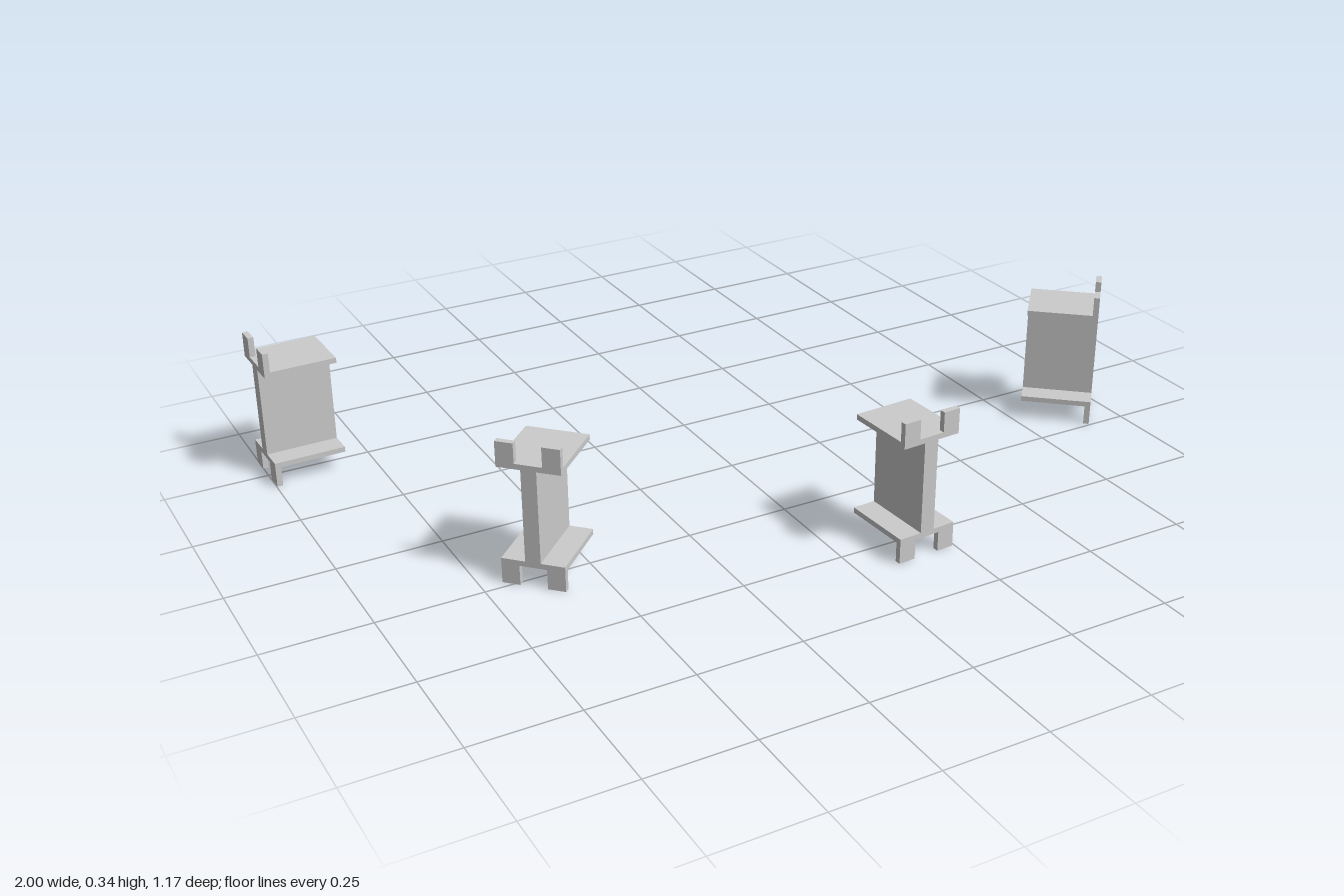
import * as THREE from 'three';

const WIDTH = 0.148, DEPTH = 0.174;   // flange footprint
const HEIGHT = 0.345, INSET = 0.048;  // overall height, flange offset from either end
const PLATE = 0.013;                  // flange thickness
const TAB_W = 0.042, TAB_D = 0.014, WEB_W = 0.036;

const material = new THREE.MeshStandardMaterial({ color: 0xcccccc, flatShading: true });

function addBox(parent, name, size, position) {
  const mesh = new THREE.Mesh(new THREE.BoxGeometry(...size), material);
  mesh.name = name;
  mesh.position.set(...position);
  parent.add(mesh);
}

// One I-shaped bracket, standing upright with its tabs at the +z edge
function createBracket() {
  const bracket = new THREE.Group();
  const mid = HEIGHT / 2;
  const webH = HEIGHT - 2 * (INSET + PLATE);
  addBox(bracket, 'web', [WEB_W, webH, DEPTH], [0, mid, 0]);

  for (const end of [-1, 1]) {
    const label = end > 0 ? 'top' : 'bottom';
    // Flange plate
    addBox(bracket, label + 'Flange', [WIDTH, PLATE, DEPTH],
      [0, mid + end * (webH + PLATE) / 2, 0]);
    // Corner tabs pointing away from the flange
    for (const side of [-1, 1]) {
      addBox(bracket, label + (side > 0 ? 'LeftTab' : 'RightTab'), [TAB_W, INSET, TAB_D],
        [side * (WIDTH - TAB_W) / 2, mid + end * (HEIGHT - INSET) / 2, (DEPTH - TAB_D) / 2]);
    }
  }
  return bracket;
}

export function createModel() {
  const model = new THREE.Group();
  model.name = 'brackets';

  // x, z and heading in degrees of each bracket
  const placements = [
    [-0.913, -0.51, -88.5],
    [-0.587, 0.222, -45.5],
    [0.165, 0.496, 3.5],
    [0.884, 0.132, 49],
  ];
  placements.forEach(([x, z, heading], i) => {
    const bracket = createBracket();
    bracket.name = 'bracket' + (i + 1);
    bracket.position.set(x, 0, z);
    bracket.rotation.y = THREE.MathUtils.degToRad(heading);
    model.add(bracket);
  });
  return model;
}
